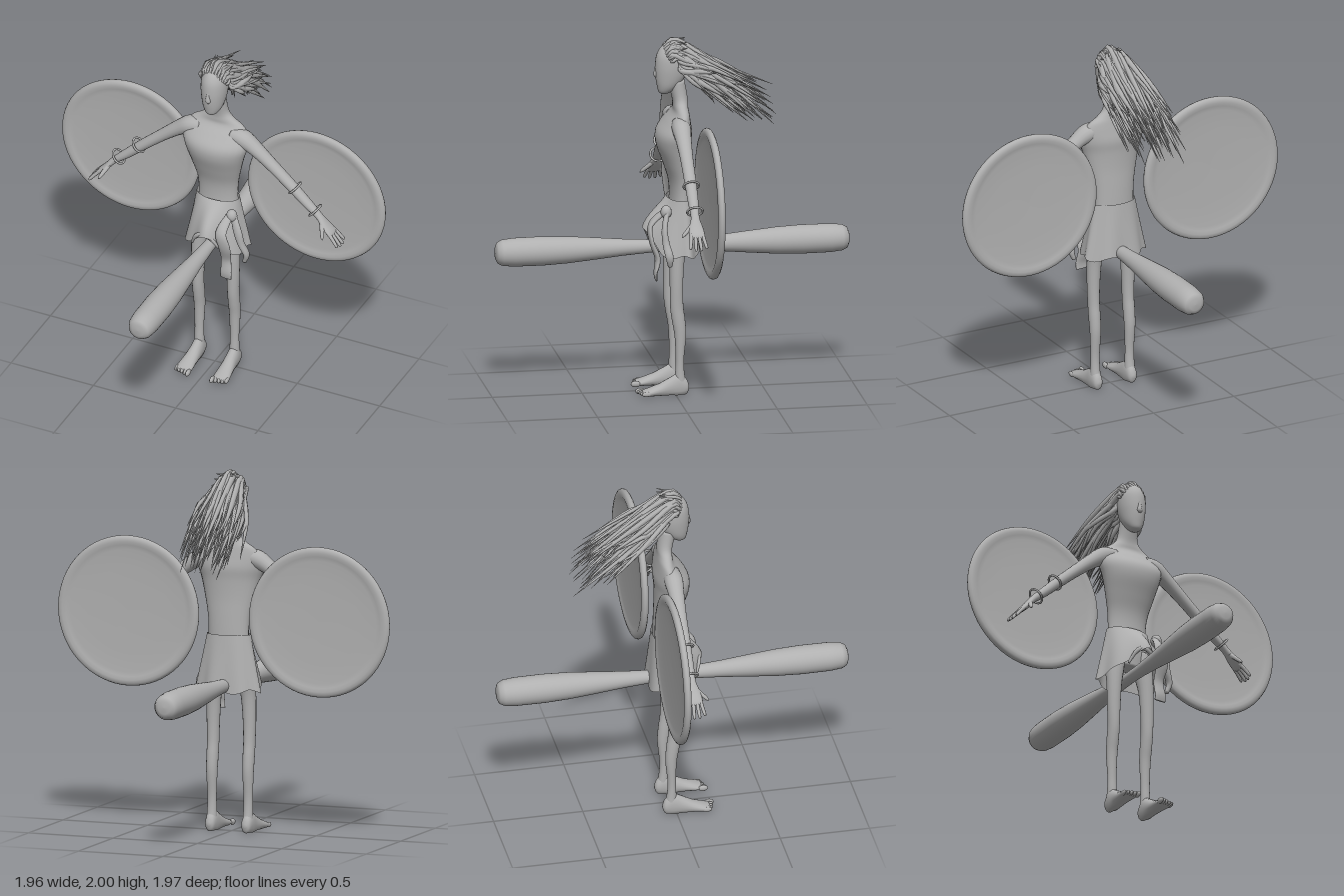
import * as THREE from 'three';

const grey = new THREE.MeshStandardMaterial({ color: 0xb0b0b0 });
grey.name = 'plain grey';
const greyCloth = new THREE.MeshStandardMaterial({ color: 0xb0b0b0, side: THREE.DoubleSide });
greyCloth.name = 'cloth grey';

const V = (x, y, z) => new THREE.Vector3(x, y, z);

function mesh(name, geometry, parent, material = grey) {
  const m = new THREE.Mesh(geometry, material);
  m.name = name;
  parent.add(m);
  return m;
}

// Smooth curve through rows of numbers (positions and radii alike)
function sampleRows(rows, t) {
  const f = t * (rows.length - 1);
  const i = Math.min(Math.floor(f), rows.length - 2), k = f - i;
  const at = (j) => rows[Math.max(0, Math.min(rows.length - 1, j))];
  return rows[i].map((_, c) => {
    const [a, b, d, e] = [at(i - 1)[c], at(i)[c], at(i + 1)[c], at(i + 2)[c]];
    return b + 0.5 * k * (d - a + k * (2 * a - 5 * b + 4 * d - e + k * (3 * (b - d) + e - a)));
  });
}

// Closed body of elliptical sections; rows are [x, y, z, radius across ref, radius along ref].
// A fixed axis, when given, must point the way the rows run.
function sweep(rows, { ref = V(0, 0, 1), axis = null, sides = 16, steps = 5, floor = -1 } = {}) {
  const rings = (rows.length - 1) * steps + 1, pos = [], idx = [];
  const point = (t) => V(...sampleRows(rows, Math.max(0, Math.min(1, t))));
  for (let i = 0; i < rings; i++) {
    const t = i / (rings - 1);
    const [x, y, z, ra, rb] = sampleRows(rows, t);
    const dir = axis ? axis.clone() : point(t + 0.01).sub(point(t - 0.01)).normalize();
    const w = ref.clone().addScaledVector(dir, -ref.dot(dir)).normalize();
    const u = w.clone().cross(dir);
    for (let j = 0; j < sides; j++) {
      const a = j / sides * Math.PI * 2;
      const p = V(x, y, z).addScaledVector(u, Math.cos(a) * Math.max(ra, 0.0005))
        .addScaledVector(w, Math.sin(a) * Math.max(rb, 0.0005));
      pos.push(p.x, Math.max(p.y, floor), p.z);
      if (i < rings - 1) {
        const n = (j + 1) % sides, b = i * sides;
        idx.push(b + j, b + n, b + sides + j, b + n, b + sides + n, b + sides + j);
      }
    }
  }
  const last = (rings - 1) * sides, c = rings * sides;
  pos.push(...rows[0].slice(0, 3), ...rows[rows.length - 1].slice(0, 3));
  for (let j = 0; j < sides; j++) {
    const n = (j + 1) % sides;
    idx.push(c, n, j, c + 1, last + j, last + n);
  }
  const g = new THREE.BufferGeometry();
  g.setAttribute('position', new THREE.Float32BufferAttribute(pos, 3));
  g.setIndex(idx);
  g.computeVertexNormals();
  return g;
}

function addBody(root) {
  const up = { axis: V(0, 1, 0), sides: 28 };
  mesh('torso', sweep([
    [0, 0.88, -0.03, 0.09, 0.05], [0, 0.98, -0.04, 0.122, 0.065], [0, 1.1, -0.045, 0.116, 0.06],
    [0, 1.2, -0.04, 0.122, 0.062], [0, 1.3, -0.022, 0.145, 0.076], [0, 1.4, -0.006, 0.172, 0.094],
    [0, 1.47, -0.01, 0.193, 0.096], [0, 1.53, -0.028, 0.19, 0.07], [0, 1.58, -0.045, 0.155, 0.045],
    [0, 1.615, -0.045, 0.1, 0.041], [0, 1.66, -0.042, 0.062, 0.043], [0, 1.76, -0.02, 0.054, 0.048],
  ], up), root);
  mesh('head', sweep([
    [0, 1.682, 0.045, 0.008, 0.008], [0, 1.695, 0.04, 0.032, 0.034], [0, 1.73, 0.024, 0.054, 0.06],
    [0, 1.78, 0.01, 0.067, 0.082], [0, 1.84, 0.004, 0.074, 0.09], [0, 1.9, 0, 0.071, 0.087],
    [0, 1.945, -0.002, 0.052, 0.066], [0, 1.968, -0.004, 0.026, 0.036], [0, 1.974, -0.004, 0.002, 0.002],
  ], up), root);
  mesh('nose', sweep([
    [0, 1.778, 0.088, 0.006, 0.006], [0, 1.792, 0.09, 0.016, 0.013],
    [0, 1.82, 0.09, 0.011, 0.01], [0, 1.862, 0.086, 0.003, 0.004],
  ], { ...up, sides: 12 }), root);
}

function addArm(root, s) {
  const arm = new THREE.Group();
  arm.name = s > 0 ? 'leftArm' : 'rightArm';
  root.add(arm);
  mesh('armSkin', sweep([
    [s * 0.09, 1.535, -0.025, 0.04, 0.045], [s * 0.16, 1.52, -0.025, 0.052, 0.052],
    [s * 0.23, 1.478, -0.025, 0.042, 0.044], [s * 0.33, 1.398, -0.025, 0.034, 0.036],
    [s * 0.45, 1.295, -0.025, 0.03, 0.033], [s * 0.55, 1.205, -0.024, 0.026, 0.029],
    [s * 0.62, 1.145, -0.022, 0.019, 0.024], [s * 0.66, 1.1, -0.02, 0.017, 0.038],
    [s * 0.7, 1.06, -0.02, 0.014, 0.044], [s * 0.712, 1.047, -0.02, 0.006, 0.03],
  ]), arm);
  // Fingers fan out front to back
  for (let i = 0; i < 4; i++) {
    const k = i - 1.5, long = 1 - 0.1 * Math.abs(k);
    mesh('finger', sweep([
      [s * 0.69, 1.07, -0.02 + k * 0.02, 0.011, 0.011],
      [s * (0.69 + 0.04 * long), 1.07 - 0.04 * long, -0.02 + k * 0.025, 0.01, 0.01],
      [s * (0.69 + 0.07 * long), 1.07 - 0.075 * long, -0.02 + k * 0.03, 0.008, 0.008],
      [s * (0.69 + 0.076 * long), 1.07 - 0.083 * long, -0.02 + k * 0.031, 0.001, 0.001],
    ], { sides: 8, steps: 3 }), arm);
  }
  mesh('thumb', sweep([
    [s * 0.645, 1.115, -0.005, 0.012, 0.014], [s * 0.662, 1.085, 0.025, 0.012, 0.013],
    [s * 0.675, 1.06, 0.052, 0.009, 0.009], [s * 0.68, 1.05, 0.062, 0.001, 0.001],
  ], { sides: 8, steps: 3, ref: V(s, 0, 0) }), arm);
  // Two loose bracelets
  for (const [x, y] of [[0.475, 1.285], [0.597, 1.172]]) {
    const ring = mesh('bracelet', new THREE.TorusGeometry(0.043, 0.006, 8, 28), arm);
    ring.position.set(s * x, y, -0.025);
    ring.quaternion.setFromUnitVectors(V(0, 0, 1), V(s * 0.74, -0.67, 0).normalize());
  }
}

function addLeg(root, s) {
  const leg = new THREE.Group(), x = s * 0.107;
  leg.name = s > 0 ? 'leftLeg' : 'rightLeg';
  root.add(leg);
  mesh('legSkin', sweep([
    [s * 0.075, 0.98, -0.035, 0.05, 0.055], [s * 0.09, 0.88, -0.025, 0.055, 0.055],
    [s * 0.102, 0.76, -0.01, 0.043, 0.042], [x, 0.62, -0.006, 0.037, 0.037],
    [x, 0.5, -0.008, 0.033, 0.037], [x, 0.42, -0.018, 0.033, 0.037],
    [x, 0.33, -0.028, 0.031, 0.032], [x, 0.2, -0.025, 0.026, 0.023],
    [x, 0.12, -0.025, 0.027, 0.026], [x, 0.05, -0.03, 0.03, 0.034],
  ], { axis: V(0, -1, 0) }), leg);
  mesh('foot', sweep([
    [x, 0.04, -0.076, 0.008, 0.008], [x, 0.042, -0.062, 0.042, 0.026], [x, 0.05, -0.02, 0.07, 0.033],
    [x, 0.042, 0.03, 0.055, 0.036], [s * 0.11, 0.03, 0.09, 0.035, 0.041],
    [s * 0.112, 0.02, 0.15, 0.022, 0.047], [s * 0.113, 0.017, 0.185, 0.013, 0.044],
  ], { ref: V(1, 0, 0), axis: V(0, 0, 1), floor: 0 }), leg);
  for (let i = 0; i < 5; i++) {
    const toe = mesh('toe', new THREE.SphereGeometry(1, 10, 8), leg);
    const big = i === 0 ? 1.25 : 1;
    toe.scale.set(0.0095 * big, 0.014 * big, 0.028);
    toe.position.set(s * (0.073 + i * 0.0195), 0.018, 0.19 - i * 0.006);
  }
}

function addHair(root) {
  const hair = new THREE.Group();
  hair.name = 'hair';
  root.add(hair);
  let seed = 7;
  const rand = () => (seed = (seed * 16807) % 2147483647) / 2147483647;
  const spread = (size) => (rand() - 0.5) * size;
  const scalp = (lat, phi, k) => V(0.08 * k * Math.sin(lat),
    1.85 + 0.117 * k * Math.cos(lat) * Math.cos(phi), -0.005 - 0.093 * k * Math.cos(lat) * Math.sin(phi));
  const lock = (a, b, c, tip, r) => mesh('hairLock', sweep([
    [...a.toArray(), 0.006, 0.006], [...b.toArray(), r, r * 0.9],
    [...c.toArray(), r * 0.95, r * 0.8], [...tip.toArray(), 0.001, 0.001],
  ], { ref: V(1, 0, 0.05), sides: 6, steps: 4 }), hair);
  // Long windswept locks; lower ones hang more steeply
  for (let i = 0; i < 125; i++) {
    const v = rand(), side = rand() * 2 - 1, lat = side * 1.25;
    const phi = -0.65 + v * 2.4;
    const a = scalp(lat, phi, 0.98), b = scalp(lat, Math.min(phi + 0.75, 2.0), 1.1 + 0.1 * rand());
    const z = -(0.59 - 0.22 * v - 0.28 * rand() * rand());
    const drop = 0.05 * v + 0.21 * rand();
    const tip = V(side * 0.15 - 0.025 + spread(0.1), Math.max(1.48, 1.98 + 0.52 * z - drop), z);
    const c = b.clone().lerp(tip, 0.45).add(V(side * 0.025 + spread(0.03), 0.008 + spread(0.03), 0));
    lock(a, b, c, tip, 0.011 + 0.006 * rand());
  }
  // Short loose wisps around the hairline
  for (let i = 0; i < 14; i++) {
    const lat = -1.2 + 2.4 * i / 13, a = scalp(lat, -0.75, 0.98);
    const b = scalp(lat * 1.05, -0.4, 1.1), c = scalp(lat, 0.1, 1.12 + 0.06 * rand());
    lock(a, b, c, c.clone().add(V(spread(0.05), spread(0.04), -0.06)), 0.009);
  }
}

function addLoincloth(root) {
  const cloth = new THREE.Group();
  cloth.name = 'loincloth';
  root.add(cloth);
  // Draped skirt with an arch at the front
  const g = new THREE.PlaneGeometry(1, 1, 72, 14), p = g.attributes.position;
  for (let i = 0; i < p.count; i++) {
    const a = p.getX(i) * Math.PI * 2, t = 0.5 - p.getY(i);
    const hem = 0.79 + 0.14 * Math.exp(-((a / 0.6) ** 2)) + 0.012 * Math.sin(5 * a);
    const fold = 1 + 0.05 * t * Math.sin(7 * a + 1);
    const front = Math.max(0, Math.cos(a));
    const rz = 0.072 + 0.03 * t + front * 0.1 * Math.sin(Math.min(t * 1.5, 1.6));
    p.setXYZ(i, Math.sin(a) * (0.126 + 0.06 * t) * fold, 1.1 + (hem - 1.1) * t,
      -0.042 + Math.cos(a) * rz * fold);
  }
  g.computeVertexNormals();
  mesh('skirt', g, cloth, greyCloth);
  // Knot at the left hip with hanging ends
  const knot = mesh('knot', new THREE.SphereGeometry(0.034, 16, 12), cloth);
  knot.position.set(0.128, 1.045, 0.055);
  knot.scale.set(0.9, 1.1, 0.9);
  mesh('frontTail', sweep([
    [0.12, 1.05, 0.06, 0.02, 0.014], [0.1, 0.97, 0.135, 0.032, 0.014], [0.12, 0.88, 0.135, 0.036, 0.013],
    [0.115, 0.78, 0.1, 0.03, 0.016], [0.12, 0.7, 0.112, 0.034, 0.01], [0.118, 0.66, 0.11, 0.034, 0.005],
  ]), cloth);
  mesh('sideTail', sweep([
    [0.135, 1.05, 0.05, 0.018, 0.015], [0.17, 0.96, 0.07, 0.025, 0.016], [0.19, 0.88, 0.065, 0.02, 0.02],
    [0.215, 0.81, 0.05, 0.016, 0.022], [0.2, 0.755, 0.045, 0.012, 0.012],
  ]), cloth);
  mesh('frontFold', sweep([
    [-0.085, 0.84, 0.115, 0.006, 0.006], [-0.05, 0.91, 0.14, 0.012, 0.01], [0, 0.935, 0.145, 0.014, 0.01],
    [0.05, 0.91, 0.14, 0.012, 0.01], [0.08, 0.86, 0.125, 0.006, 0.006],
  ], { sides: 10 }), cloth);
}

// Revolves a mirrored half profile of [radius, height] about the z axis
function revolve(half, sides) {
  const all = [...half.slice(1).reverse().map(([r, y]) => [r, -y]), ...half];
  const g = new THREE.LatheGeometry(all.map(([r, y]) => new THREE.Vector2(r, y)), sides);
  return g.rotateX(Math.PI / 2);
}

function addClub(root) {
  mesh('doubleClub', revolve([[0.033, 0], [0.035, 0.1], [0.046, 0.27], [0.06, 0.42], [0.074, 0.58],
    [0.08, 0.72], [0.079, 0.88], [0.072, 0.945], [0.058, 0.972], [0.035, 0.982], [0, 0.984]], 32),
  root).position.y = 0.82;
}

function addShield(root, s) {
  // Dished round plate with a thick rolled rim on both faces
  mesh(s > 0 ? 'leftShield' : 'rightShield', revolve([[0.417, 0], [0.413, 0.011], [0.402, 0.018],
    [0.385, 0.021], [0.365, 0.016], [0.34, 0.011], [0.24, 0.007], [0.12, 0.005], [0, 0.004]], 64),
  root).position.set(s * 0.565, 1.204, -0.114);
}

export function createModel() {
  const root = new THREE.Group();
  root.name = 'warrior';
  addBody(root);
  for (const s of [1, -1]) {
    addArm(root, s);
    addLeg(root, s);
    addShield(root, s);
  }
  addHair(root);
  addLoincloth(root);
  addClub(root);
  return root;
}
